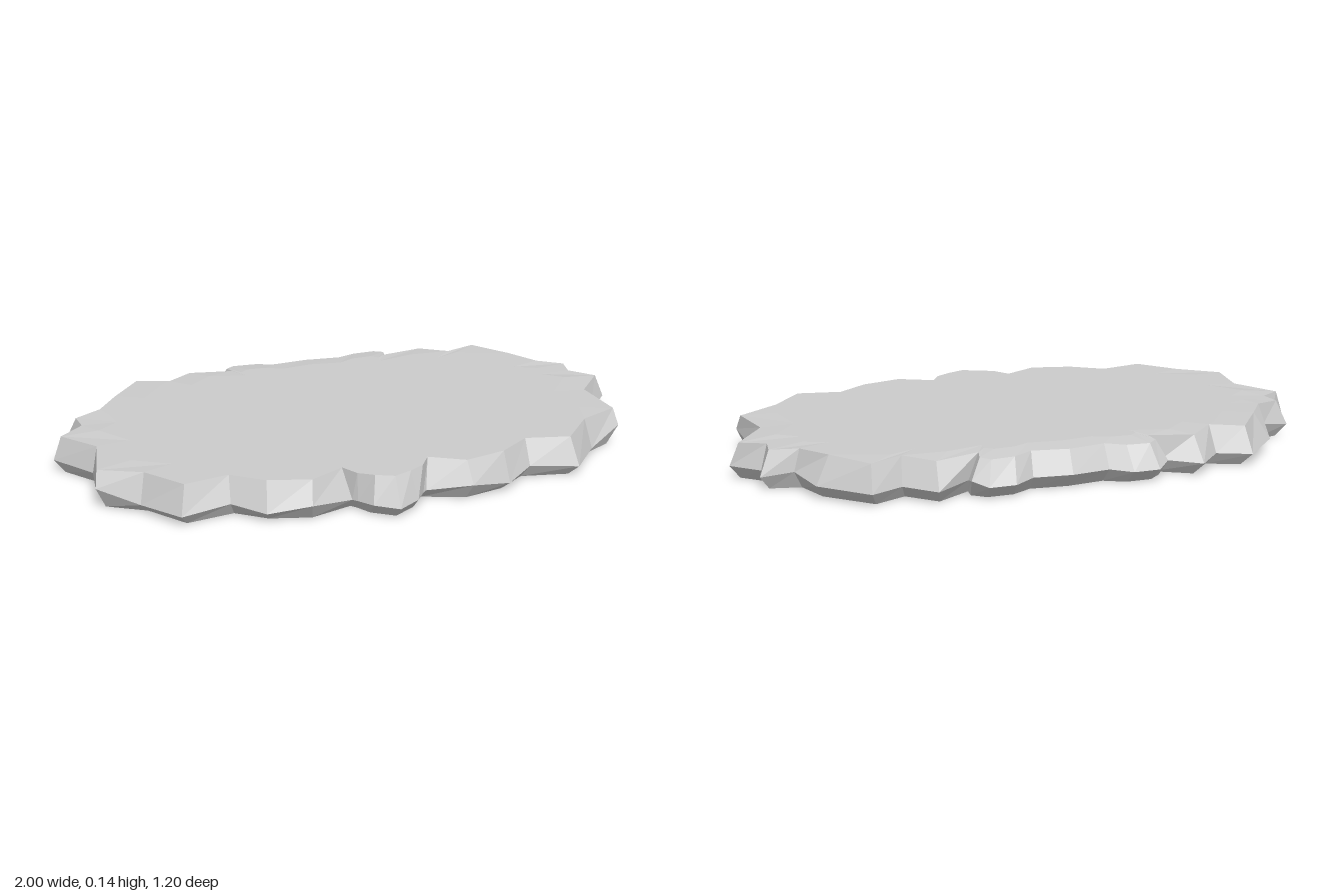
import * as THREE from 'three';

// Half outline from front tip to back centre: [bulge x, z, y, rim x, z]
const HALF = [
  [0.00, 0.60, 0.045, 0.00, 0.54],
  [0.075, 0.55, 0.045, 0.06, 0.515],
  [0.11, 0.495, 0.04, 0.11, 0.485],
  [0.125, 0.48, 0.04, 0.145, 0.43],
  [0.27, 0.53, 0.06, 0.26, 0.49],
  [0.41, 0.495, 0.035, 0.40, 0.455],
  [0.51, 0.42, 0.05, 0.505, 0.38],
  [0.675, 0.45, 0.04, 0.655, 0.41],
  [0.78, 0.315, 0.035, 0.76, 0.285],
  [0.91, 0.24, 0.075, 0.90, 0.21],
  [0.89, 0.05, 0.045, 0.87, 0.03],
  [1.00, -0.09, 0.045, 0.97, -0.10],
  [0.915, -0.175, 0.045, 0.89, -0.16],
  [0.935, -0.25, 0.045, 0.90, -0.23],
  [0.83, -0.275, 0.06, 0.81, -0.27],
  [0.79, -0.40, 0.045, 0.74, -0.37],
  [0.65, -0.545, 0.045, 0.64, -0.50],
  [0.54, -0.495, 0.045, 0.53, -0.455],
  [0.45, -0.59, 0.045, 0.44, -0.53],
  [0.33, -0.515, 0.05, 0.29, -0.495],
  [0.335, -0.56, 0.06, 0.30, -0.535],
  [0.29, -0.60, 0.045, 0.27, -0.56],
  [0.20, -0.60, 0.045, 0.19, -0.555],
  [0.13, -0.56, 0.05, 0.125, -0.525],
  [0.00, -0.575, 0.05, 0.00, -0.54],
];

// Mirror the half outline into a closed loop
function mirrorLoop(half) {
  const left = half.slice(1, -1).reverse()
    .map(([bx, bz, by, rx, rz]) => [-bx, bz, by, -rx, rz]);
  return [...half, ...left];
}

// Join consecutive rings of equal length with triangles, skipping collapsed ones
function loft(rings) {
  const pos = [];
  const tri = (a, b, c) => {
    if (a.equals(b) || b.equals(c) || a.equals(c)) return;
    pos.push(...a.toArray(), ...b.toArray(), ...c.toArray());
  };
  for (let r = 0; r < rings.length - 1; r++) {
    const lo = rings[r], hi = rings[r + 1], n = lo.length;
    for (let i = 0; i < n; i++) {
      const j = (i + 1) % n;
      tri(lo[i], lo[j], hi[j]);
      tri(lo[i], hi[j], hi[i]);
    }
  }
  const geo = new THREE.BufferGeometry();
  geo.setAttribute('position', new THREE.Float32BufferAttribute(pos, 3));
  geo.computeVertexNormals();
  return geo;
}

// The rim dips slightly at the two ends and along the back
const rimHeight = (x, z) =>
  0.135 - 0.07 * Math.max(0, Math.abs(x) - 0.8) - 0.12 * Math.max(0, -z - 0.47);

export function createModel() {
  const group = new THREE.Group();
  group.name = 'rockSlab';
  const loop = mirrorLoop(HALF);
  const ring = (fn) => loop.map((p) => new THREE.Vector3(...fn(p)));

  const rings = [
    ring(() => [0, 0, 0]),                                               // underside centre
    ring(([x, z]) => [x * 0.965, 0, z * 0.92]),                          // undercut foot
    ring(([x, z, y]) => [x, y, z]),                                      // widest bulge
    ring(([, , , x, z]) => [x, rimHeight(x, z), z]),                     // upper rim
    ring(([, , , x, z]) => [x * 0.87, 0.135, z * 0.87]),                 // flat plateau
    ring(() => [0, 0.135, 0]),                                           // top centre
  ];

  const slab = new THREE.Mesh(
    loft(rings),
    new THREE.MeshStandardMaterial({ color: 0xcccccc, flatShading: true }),
  );
  slab.name = 'slab';
  group.add(slab);
  return group;
}
